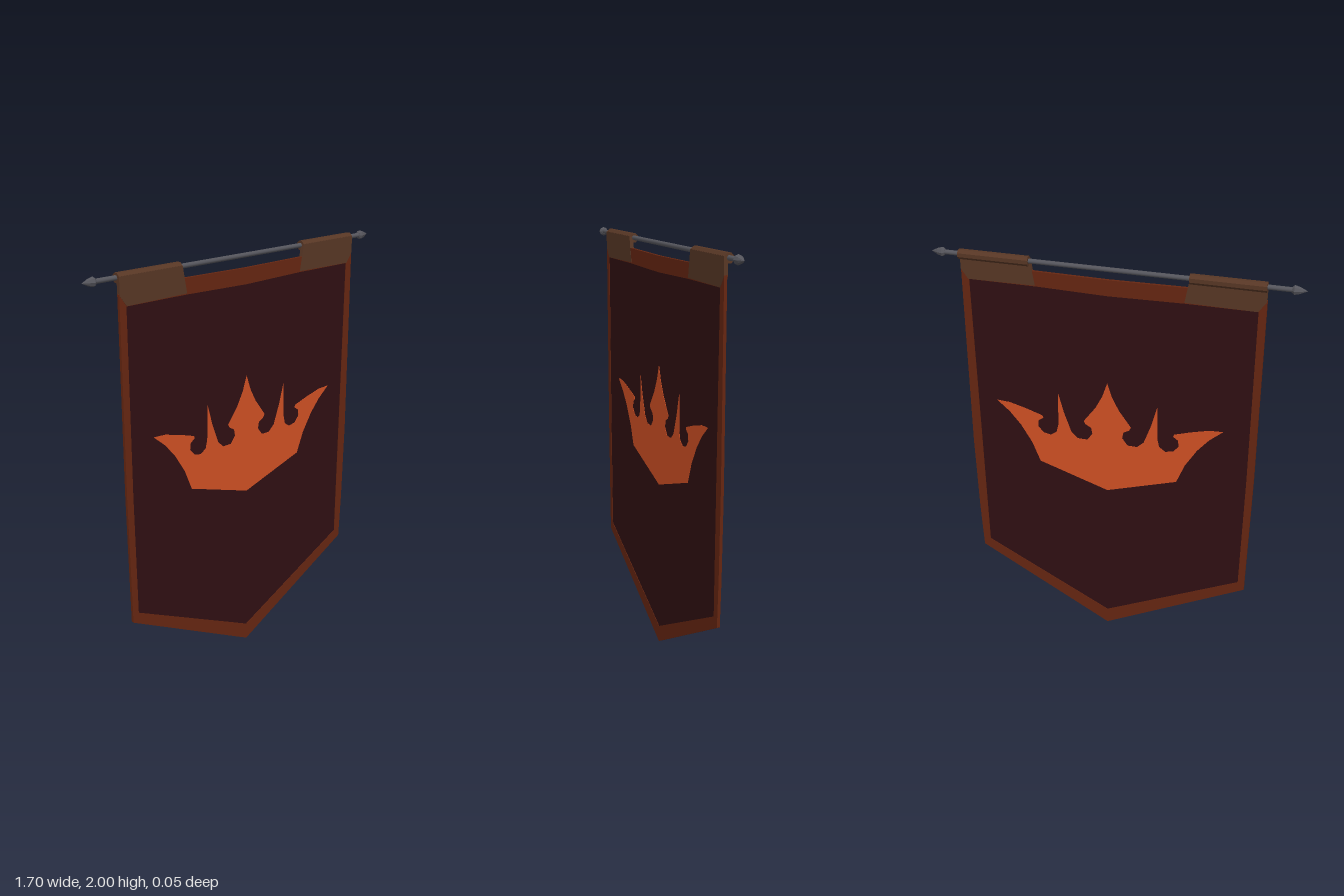
import * as THREE from 'three';

const material = (name, color) => {
  const m = new THREE.MeshStandardMaterial({ color });
  m.name = name;
  return m;
};

export function createModel() {
  const banner = new THREE.Group();
  banner.name = 'banner';
  const panelMat = material('dark maroon cloth', 0x300f12);
  const trimMat = material('rust trim', 0x662611);
  const crownMat = material('orange emblem', 0xd05024);
  const tabMat = material('brown leather', 0x583725);
  const metalMat = material('dark metal', 0x55555c);

  const vectors = (pts) => pts.map(([x, y]) => new THREE.Vector2(x, y));
  const mirrorX = (pts, c) => pts.map(([x, y]) => [2 * c - x, y]).reverse();

  const add = (name, geometry, mat) => {
    const mesh = new THREE.Mesh(geometry, mat);
    mesh.name = name;
    banner.add(mesh);
    return mesh;
  };

  // Flat plate between two depths, with an optional hole
  const plate = (name, pts, z0, z1, mat, hole) => {
    const shape = new THREE.Shape(vectors(pts));
    if (hole) shape.holes.push(new THREE.Path(vectors(hole)));
    const g = new THREE.ExtrudeGeometry(shape, { depth: z1 - z0, bevelEnabled: false });
    g.translate(0, 0, z0);
    return add(name, g, mat);
  };

  // Cloth: pointed pennant with a trim frame around the panel
  const outer = [
    [0.024, 0], [0.702, 0.37], [0.712, 0.6], [0.72, 1.0], [0.718, 1.91], [0.68, 1.93],
    [0.35, 1.928], [0.02, 1.925], [-0.33, 1.93], [-0.65, 1.93], [-0.686, 1.91],
    [-0.69, 1.0], [-0.684, 0.37],
  ];
  const inner = [
    [0.024, 0.083], [0.667, 0.41], [0.673, 1.0], [0.682, 1.857], [0.35, 1.857],
    [0.02, 1.85], [-0.33, 1.857], [-0.652, 1.857], [-0.656, 1.0], [-0.652, 0.41],
  ];
  plate('trimFrame', outer, -0.005, 0.009, trimMat, inner);
  plate('clothPanel', inner, -0.003, 0.007, panelMat);

  // Crown emblem: left half outline, mirrored; it shows on both faces
  const crownCentre = 0.024;
  const half = [
    [-0.32, 0.94], [-0.36, 1.04], [-0.415, 1.13], [-0.47, 1.195], [-0.532, 1.248],
    [-0.468, 1.245], [-0.38, 1.222], [-0.302, 1.197], [-0.298, 1.185], [-0.322, 1.168],
    [-0.326, 1.136], [-0.3, 1.105], [-0.262, 1.097], [-0.232, 1.118], [-0.222, 1.16],
    [-0.218, 1.327], [-0.192, 1.23], [-0.156, 1.13], [-0.124, 1.1], [-0.077, 1.1],
    [-0.05, 1.136], [-0.056, 1.168], [-0.084, 1.184], [-0.093, 1.2], [-0.034, 1.28],
    [0.0, 1.345],
  ];
  const crown = [[crownCentre, 0.83], ...half, [crownCentre, 1.417], ...mirrorX(half, crownCentre)];
  plate('crownEmblem', crown, -0.0045, 0.0085, crownMat);

  // Leather tabs with sleeves wrapped round the rod
  const rodY = 1.978;
  const rodZ = -0.013;
  const tab = [[-0.684, 1.985], [-0.684, 1.905], [-0.65, 1.858], [-0.328, 1.862], [-0.35, 1.985]];
  for (const [side, sign] of [['right', -1], ['left', 1]]) {
    const pts = sign < 0 ? tab : mirrorX(tab, 0.017);
    plate(side + 'Tab', pts, -0.008, 0.0105, tabMat);
    const sleeve = new THREE.CylinderGeometry(0.0235, 0.0235, 0.334, 8, 1).toNonIndexed();
    sleeve.rotateY(Math.PI / 8);
    sleeve.rotateZ(Math.PI / 2);
    sleeve.computeVertexNormals();
    add(side + 'Sleeve', sleeve, tabMat).position.set(0.017 + sign * 0.534, rodY - 0.001, rodZ);
  }

  // Rod with an arrow-shaped finial on each end
  const rod = new THREE.CylinderGeometry(0.011, 0.011, 1.62, 10);
  rod.rotateZ(Math.PI / 2);
  add('rod', rod, metalMat).position.set(0, rodY, rodZ);
  const finialProfile = vectors([[0, -0.012], [0.014, -0.01], [0.022, 0], [0.016, 0.022], [0, 0.055]]);
  for (const [side, sign] of [['right', -1], ['left', 1]]) {
    const g = new THREE.LatheGeometry(finialProfile, 8).toNonIndexed();
    g.rotateZ(-sign * Math.PI / 2);
    g.computeVertexNormals();
    add(side + 'Finial', g, metalMat).position.set(sign * 0.797, rodY, rodZ);
  }

  return banner;
}
